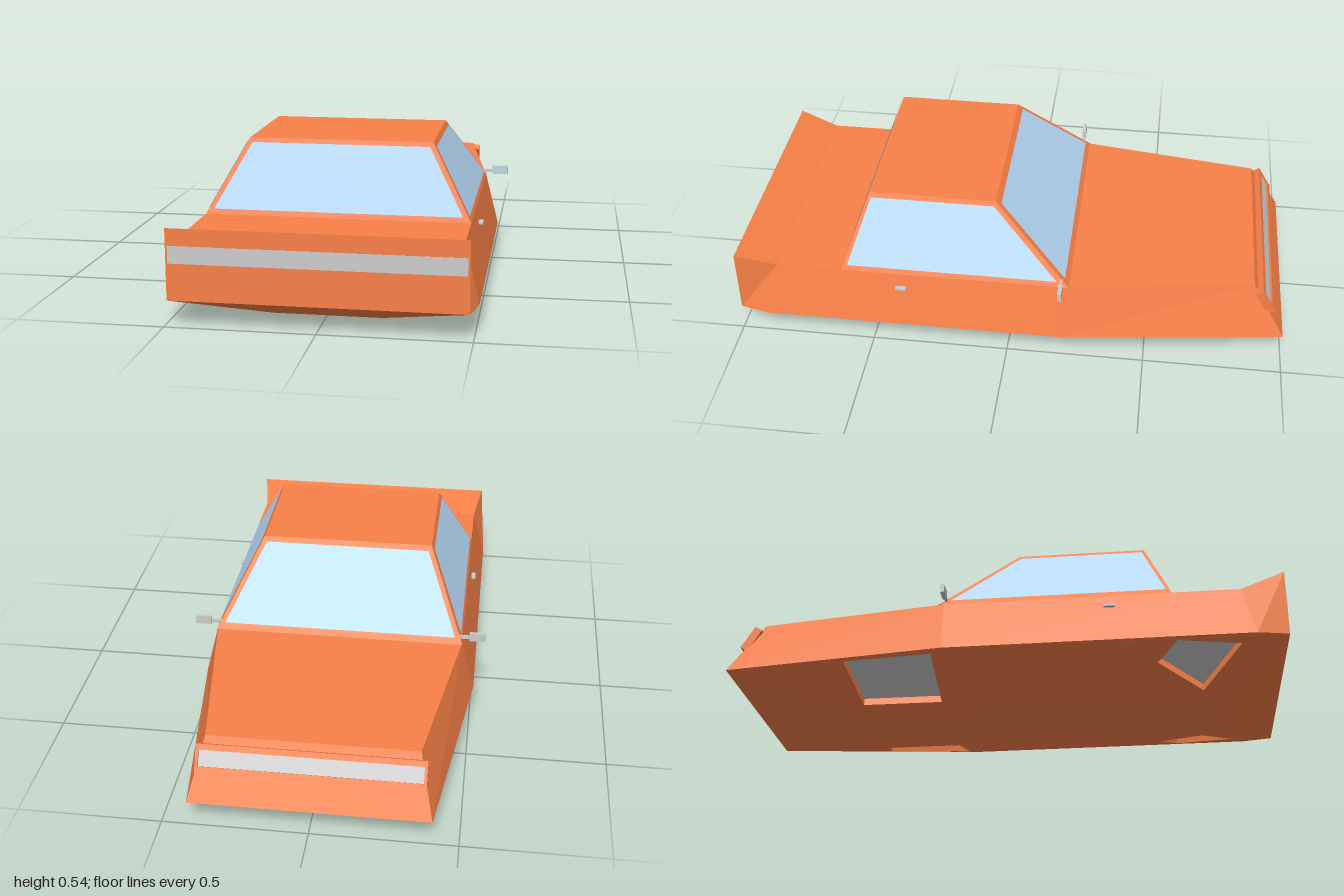
import * as THREE from 'three';

const V = (x, y, z) => new THREE.Vector3(x, y, z);
const mat = (color) => new THREE.MeshStandardMaterial({ color, flatShading: true, side: THREE.DoubleSide });
const PAINT = mat(0xf88048), GLASS = mat(0xb8daf8), GREY = mat(0xcccccc), MIRROR = mat(0xbbd9df);
const flip = (p, s) => V(p.x * s, p.y, p.z);
const across = (a, b) => [a, b, flip(b, -1), flip(a, -1)];

// Collects flat convex faces, each turned to look away from a given point
class Shell {
  constructor() { this.pos = []; }
  face(pts, from = V(0, 0.18, 0), lift = 0) {
    const n = V(0, 0, 0), mid = V(0, 0, 0);
    pts.forEach((p, i) => {
      n.add(p.clone().cross(pts[(i + 1) % pts.length]));
      mid.addScaledVector(p, 1 / pts.length);
    });
    n.normalize();
    let list = pts;
    if (n.dot(mid.sub(from)) < 0) { list = [...pts].reverse(); n.negate(); }
    list = list.map((p) => p.clone().addScaledVector(n, lift));
    for (let i = 1; i < list.length - 1; i++)
      for (const p of [list[0], list[i], list[i + 1]]) this.pos.push(p.x, p.y, p.z);
    return this;
  }
  mesh(name, material) {
    const g = new THREE.BufferGeometry();
    g.setAttribute('position', new THREE.Float32BufferAttribute(this.pos, 3));
    g.computeVertexNormals();
    const m = new THREE.Mesh(g, material);
    m.name = name;
    return m;
  }
}

function box(name, material, w, h, d, x, y, z) {
  const m = new THREE.Mesh(new THREE.BoxGeometry(w, h, d), material);
  m.name = name;
  m.position.set(x, y, z);
  return m;
}

// Belt line (widest edge) and shoulder line, nose at -z to tail at +z
const BELT = [V(0.41, 0.09, -1), V(0.51, 0.09, -0.2), V(0.51, 0.09, 0.89), V(0.487, 0.09, 1)];
const TOP = [V(0.36, 0.285, -0.88), V(0.46, 0.285, -0.2), V(0.46, 0.285, 0.85), V(0.487, 0.33, 1)];
const KEEL = [V(0.185, 0, -0.53), V(0.185, 0, 0.8)];

// Openings in the sloping underside
const WELLS = [
  [V(0.22, 0.01, -0.24), V(0.22, 0.011, -0.53), V(0.447, 0.085, -0.56), V(0.48, 0.083, -0.24)],
  [V(0.22, 0.01, 0.71), V(0.38, 0.054, 0.55), V(0.49, 0.085, 0.62), V(0.45, 0.08, 0.84)],
];

function buildBody() {
  const s = new Shell(), below = V(0, -3, 0.9);
  for (let i = 0; i < 3; i++) {
    for (const k of [1, -1])
      s.face([BELT[i], BELT[i + 1], TOP[i + 1], TOP[i]].map((p) => flip(p, k)));
    s.face(across(TOP[i], TOP[i + 1]), below);
  }
  s.face(across(BELT[0], TOP[0]));
  s.face(across(BELT[3], TOP[3]));
  return s.mesh('body', PAINT);
}

function buildUnderside() {
  const group = new THREE.Group();
  group.name = 'underside';
  const s = new Shell(), floors = new Shell(), above = V(0, 3, 0);
  s.face(across(KEEL[0], KEEL[1]), above);
  s.face(across(KEEL[0], BELT[0]), above);
  s.face(across(KEEL[1], BELT[3]), above);
  // Sloping sides, with the wells cut out in plan
  const outline = [KEEL[0], ...BELT, KEEL[1]];
  const plan = (pts) => pts.map((p) => new THREE.Vector2(p.x, p.z));
  const all = [...outline, ...WELLS.flat()];
  const tris = THREE.ShapeUtils.triangulateShape(plan(outline), WELLS.map(plan));
  for (const k of [1, -1]) {
    for (const t of tris) s.face(t.map((i) => flip(all[i], k)), above);
    for (const well of WELLS) {
      const rim = well.map((p) => flip(p, k));
      const deep = rim.map((p) => p.clone().add(V(-0.007 * k, 0.028, 0)));
      const mid = V(0, 0, 0);
      [...rim, ...deep].forEach((p) => mid.addScaledVector(p, 1 / 8));
      rim.forEach((p, i) => {
        const j = (i + 1) % 4, wall = [p, rim[j], deep[j], deep[i]];
        const c = V(0, 0, 0);
        wall.forEach((q) => c.addScaledVector(q, 0.25));
        // walls look into the well
        s.face(wall, c.multiplyScalar(2).sub(mid));
      });
      floors.face(deep, above);
    }
  }
  group.add(s.mesh('undersidePanels', PAINT), floors.mesh('wellFloors', GREY));
  return group;
}

function buildCabin() {
  const group = new THREE.Group();
  group.name = 'cabin';
  const core = V(0, 0.38, 0.25);
  const low = [V(0.46, 0.285, -0.22), V(0.46, 0.285, 0.61)];
  const high = [V(0.32, 0.542, 0.06), V(0.32, 0.542, 0.52)];
  const s = new Shell(), w = new Shell();
  // Points on the sloping cabin faces at a given height
  const t = (y) => (y - 0.285) / 0.257;
  const sideX = (y) => 0.46 - 0.14 * t(y);
  const endZ = [(y) => -0.22 + 0.28 * t(y), (y) => 0.61 - 0.09 * t(y)];
  const y0 = 0.302, y1 = 0.526;
  for (const k of [1, -1]) {
    s.face([low[0], low[1], high[1], high[0]].map((p) => flip(p, k)), core);
    w.face([V(sideX(y0), y0, -0.175), V(sideX(y0), y0, 0.59),
      V(sideX(y1), y1, 0.512), V(sideX(y1), y1, 0.065)].map((p) => flip(p, k)), core, 0.003);
  }
  for (const i of [0, 1]) {
    s.face(across(low[i], high[i]), core);
    w.face(across(V(0.432, y0, endZ[i](y0)), V(0.31, y1, endZ[i](y1))), core, 0.003);
  }
  s.face(across(high[0], high[1]), core);
  group.add(s.mesh('cabinShell', PAINT), w.mesh('windows', GLASS));
  return group;
}

// Framed light bar lying on the sloping nose
function buildNoseLight() {
  const g = new THREE.Group();
  g.name = 'noseLight';
  g.position.set(0, 0.224, -0.925);
  g.rotation.x = 0.551;
  for (const k of [1, -1]) {
    g.add(box('lightFrameRail', PAINT, 0.77, 0.02, 0.03, 0, 0.038 * k, 0));
    g.add(box('lightFrameEnd', PAINT, 0.01, 0.06, 0.03, 0.38 * k, 0, 0));
  }
  g.add(box('lightBar', GREY, 0.75, 0.056, 0.02, 0, 0, 0.002));
  return g;
}

export function createModel() {
  const model = new THREE.Group();
  model.name = 'car';
  model.add(buildBody(), buildUnderside(), buildCabin(), buildNoseLight());
  model.add(box('tailLightBar', GREY, 0.96, 0.058, 0.01, 0, 0.243, 0.997));
  for (const k of [1, -1]) {
    model.add(box('doorHandle', GREY, 0.022, 0.008, 0.04, 0.477 * k, 0.236, 0.39));
    model.add(box('mirrorArm', GREY, 0.06, 0.012, 0.008, 0.47 * k, 0.303, -0.192));
    model.add(box('mirrorHousing', GREY, 0.06, 0.032, 0.012, 0.515 * k, 0.307, -0.194));
    model.add(box('mirrorGlass', MIRROR, 0.058, 0.03, 0.003, 0.515 * k, 0.307, -0.187));
  }
  return model;
}
